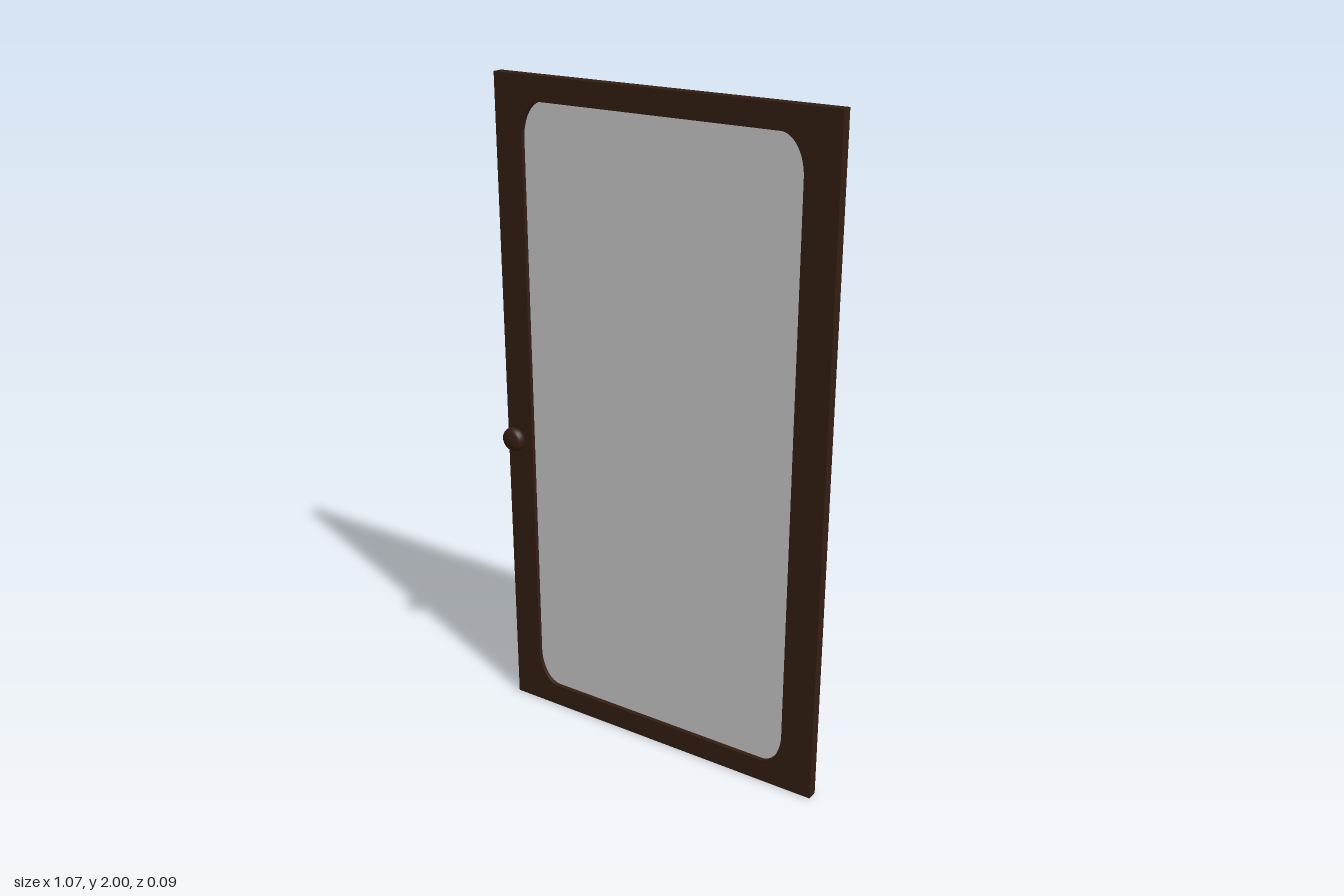
import * as THREE from 'three';

const BACK = -0.043, FRONT = -0.01;

// Rectangle with elliptical corners
function roundedRect(path, x0, x1, y0, y1, rx, ry) {
  path.moveTo(x0 + rx, y0);
  path.lineTo(x1 - rx, y0);
  path.absellipse(x1 - rx, y0 + ry, rx, ry, -Math.PI / 2, 0, false);
  path.absellipse(x1 - rx, y1 - ry, rx, ry, 0, Math.PI / 2, false);
  path.absellipse(x0 + rx, y1 - ry, rx, ry, Math.PI / 2, Math.PI, false);
  path.absellipse(x0 + rx, y0 + ry, rx, ry, Math.PI, Math.PI * 1.5, false);
  return path;
}

export function createModel() {
  const group = new THREE.Group();
  const wood = new THREE.MeshStandardMaterial({ color: 0x351e12 });
  const pane = new THREE.MeshStandardMaterial({ color: 0xcccccc });

  const add = (name, geometry, material) => {
    const mesh = new THREE.Mesh(geometry, material);
    mesh.name = name;
    group.add(mesh);
    return mesh;
  };

  // Door frame with a rounded window opening
  const outline = new THREE.Shape([
    new THREE.Vector2(-0.536, 0), new THREE.Vector2(0.536, 0),
    new THREE.Vector2(0.536, 2), new THREE.Vector2(-0.536, 2),
  ]);
  outline.holes.push(roundedRect(new THREE.Path(), -0.447, 0.435, 0.07, 1.93, 0.07, 0.11));
  const frame = add('doorFrame', new THREE.ExtrudeGeometry(outline, {
    depth: FRONT - BACK, bevelEnabled: false, curveSegments: 12,
  }), wood);
  frame.position.z = BACK;

  // Glass pane, let into the middle of the frame
  const glass = add('glassPane', new THREE.BoxGeometry(0.89, 1.87, 0.006), pane);
  glass.position.set(-0.006, 1, (BACK + FRONT) / 2);

  // Round knob on a short stem, turned about z
  const profile = [
    [0.0115, 0], [0.0115, 0.015], [0.022, 0.017], [0.032, 0.022], [0.037, 0.03],
    [0.037, 0.037], [0.034, 0.045], [0.026, 0.05], [0.013, 0.0525], [0, 0.053],
  ].map(([r, h]) => new THREE.Vector2(r, h));
  const knob = add('knob', new THREE.LatheGeometry(profile, 32), wood);
  knob.rotation.x = Math.PI / 2;
  knob.position.set(-0.489, 0.92, FRONT);

  return group;
}
